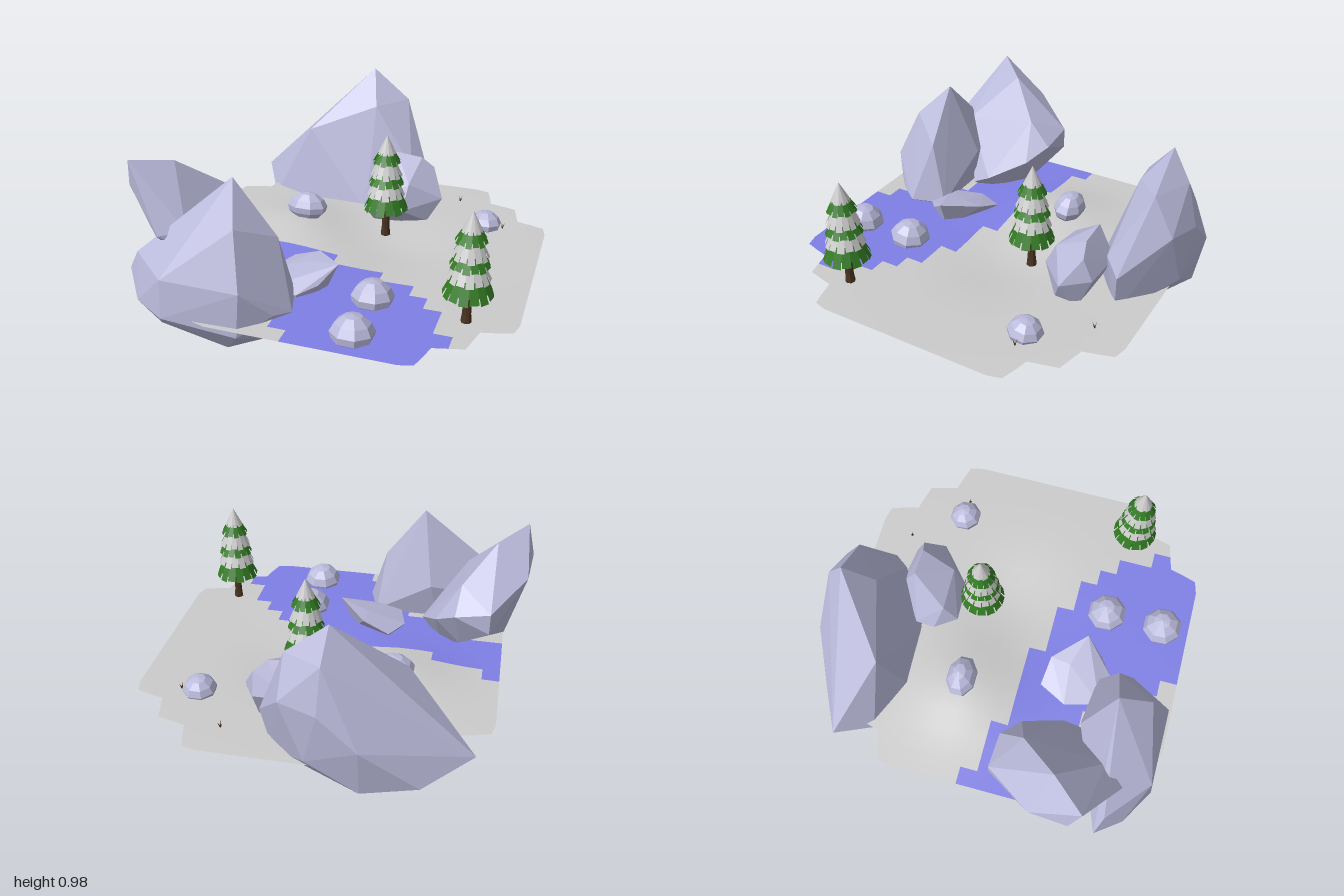
import * as THREE from 'three';
import { mergeVertices } from 'three/addons/utils/BufferGeometryUtils.js';
import { ConvexGeometry } from 'three/addons/geometries/ConvexGeometry.js';

const mat = (color, opts = {}) => new THREE.MeshStandardMaterial({ color, ...opts });
const double = { side: THREE.DoubleSide };
const rockMat = mat(0xb9b9da, { flatShading: true });
const groundMat = mat(0xcccccc, double);
const waterMat = mat(0x7f7fe6, double);
const snowMat = mat(0xcccccc, { flatShading: true, ...double });
const greenMat = mat(0x327a22, { flatShading: true, ...double });
const barkMat = mat(0x4a3420, { flatShading: true });

const BASE = 0.235, CELL = 0.094, CX = 0.06, CZ = 0.04;

function add(parent, name, geometry, material) {
  const mesh = new THREE.Mesh(geometry, material);
  mesh.name = name;
  parent.add(mesh);
  return mesh;
}

// Terrain: square grid with stepped corners, a low mound and a shallow hollow
const softened = { '10,6': [9.8, 5.75], '8,6': [8.2, 6.2], '8,8': [7.8, 7.8], '6,8': [6.2, 8.2], '6,10': [5.75, 9.8] };

function gridPoint(i, j) {
  const [a, b] = softened[`${Math.abs(i)},${Math.abs(j)}`] || [Math.abs(i), Math.abs(j)];
  const x = CX + Math.sign(i) * a * CELL, z = CZ + Math.sign(j) * b * CELL;
  const bump = (px, pz, h, r) => h * Math.exp(-((x - px) ** 2 + (z - pz) ** 2) / (2 * r * r));
  return [x, BASE + bump(-0.36, -0.12, 0.058, 0.18) - bump(0.2, -0.07, 0.038, 0.2), z];
}

// First and last grid row of the river for each column, from column -10
const riverStart = [-1, 0, 0, 0, 1, 1, 1, 1, 1, 2, 2, 2, 3, 3, 4, 5, 7];
const riverEnd = [3, 3, 4, 4, 5, 5, 6, 8, 9, 10, 10, 10, 10, 10, 10, 10, 10];

function terrain(group) {
  const land = [], water = [];
  for (let i = -10; i < 10; i++) {
    for (let j = -10; j < 10; j++) {
      const a = Math.max(Math.abs(i), Math.abs(i + 1)), b = Math.max(Math.abs(j), Math.abs(j + 1));
      if ((a > 8 && b > 6) || (a > 6 && b > 8)) continue;
      const wet = j >= riverStart[i + 10] && j < riverEnd[i + 10];
      const p = [gridPoint(i, j), gridPoint(i, j + 1), gridPoint(i + 1, j + 1), gridPoint(i + 1, j)];
      for (const k of [0, 1, 2, 0, 2, 3]) (wet ? water : land).push(...p[k]);
    }
  }
  for (const [name, data, material] of [['ground', land, groundMat], ['river', water, waterMat]]) {
    const g = new THREE.BufferGeometry();
    g.setAttribute('position', new THREE.Float32BufferAttribute(data, 3));
    const merged = mergeVertices(g);
    merged.computeVertexNormals();
    add(group, name, merged, material);
  }
}

// Boulders: convex hulls of a few corners
const boulders = {
  backCrag: [
    [-0.12, 0.98, -0.82], [0.09, 0.81, -0.82], [-0.1, 0.82, -0.92], [-0.07, 0.79, -0.68],
    [0.1, 0.61, -0.93], [-0.09, 0.59, -0.98], [-0.28, 0.42, -0.99], [-0.28, 0.14, -0.94],
    [-0.56, 0.18, -0.9], [-0.8, 0.3, -0.76], [-0.69, 0.18, -0.58], [-0.45, 0.64, -0.58],
    [-0.41, 0.2, -0.46], [-0.07, 0.2, -0.48], [0.25, 0.39, -0.72], [0.17, 0.45, -0.63],
    [0.2, 0.13, -0.7], [0.09, 0.05, -0.62], [-0.11, 0, -0.6], [-0.02, 0.3, -0.95]],
  backBoulder: [
    [0.1, 0.575, -0.55], [0.25, 0.56, -0.55], [0.32, 0.5, -0.57], [0.395, 0.35, -0.475],
    [0.315, 0.38, -0.62], [0.1, 0.4, -0.64], [-0.08, 0.32, -0.51], [-0.08, 0.3, -0.41],
    [0, 0.42, -0.37], [0.22, 0.46, -0.37], [0, 0.3, -0.295], [0.2, 0.32, -0.3],
    [0.16, 0.12, -0.44], [0.3, 0.17, -0.53], [0.04, 0.15, -0.52], [0.32, 0.22, -0.42], [0.03, 0.2, -0.36]],
  frontCrag: [
    [-0.375, 0.87, 0.65], [-0.16, 0.58, 0.64], [-0.3, 0.69, 0.83],
    [-0.06, 0.24, 0.74], [-0.12, 0.24, 0.55],
    [-0.44, 0.45, 0.51], [-0.95, 0.31, 0.71], [-0.88, 0.43, 0.74], [-0.65, 0.42, 0.94],
    [-0.24, 0.42, 0.945], [-0.65, 0.22, 0.965], [-0.26, 0.18, 0.95], [-0.71, 0.12, 0.86],
    [-0.36, 0.04, 0.85], [-0.18, 0.09, 0.78], [-0.84, 0.22, 0.85], [-0.5, 0.13, 0.58], [-0.12, 0.26, 0.83]],
  sideCrag: [
    [-0.96, 0.86, 0.61], [-0.8, 0.81, 0.44], [-0.63, 0.63, 0.25], [-0.8, 0.54, 0.11],
    [-0.61, 0.5, 0.12], [-0.98, 0.65, 0.36], [-1, 0.7, 0.56], [-0.91, 0.36, 0.5],
    [-0.73, 0.56, 0.785], [-0.63, 0.55, 0.68], [-0.5, 0.42, 0.21], [-0.41, 0.3, 0.42],
    [-0.41, 0.25, 0.52], [-0.8, 0.42, 0.11], [-0.64, 0.27, 0.23], [-0.52, 0.15, 0.42],
    [-0.72, 0.18, 0.44], [-0.88, 0.33, 0.3]],
  riverSlab: [
    [-0.235, 0.26, 0.25], [-0.085, 0.32, 0.27], [0.075, 0.36, 0.44], [0, 0.28, 0.54],
    [-0.09, 0.25, 0.615], [-0.26, 0.25, 0.59], [-0.31, 0.25, 0.4], [-0.17, 0.13, 0.42],
    [-0.01, 0.16, 0.46], [-0.24, 0.17, 0.36], [-0.1, 0.14, 0.57], [-0.23, 0.15, 0.54], [-0.1, 0.32, 0.38]],
};

// Small stones: squat eight-sided lathes, tipped slightly
const stoneProfile = [[0, -1], [0.52, -0.88], [0.92, -0.35], [1, 0.05], [0.8, 0.5], [0.42, 0.88], [0, 0.98]]
  .map(([x, y]) => new THREE.Vector2(x, y));
const stones = [
  { at: [0.275, 0.257, 0.51], size: [0.11, 0.092, 0.11] },
  { at: [0.275, 0.257, 0.83], size: [0.11, 0.092, 0.11] },
  { at: [0.66, 0.253, -0.44], size: [0.092, 0.074, 0.092] },
  { at: [-0.325, 0.335, -0.175], size: [0.118, 0.085, 0.085] },
];

// One ring of hanging boughs with a cone core behind it
function tier(tree, name, top, bottom, r0, r1, material, turn) {
  const n = 14, data = [];
  for (let i = 0; i < n; i++) {
    const mid = ((i + turn) / n) * Math.PI * 2, half = Math.PI / n;
    const y1 = bottom + (i % 2) * 0.008;
    const pt = (a, r, y) => [Math.sin(a) * r, y, Math.cos(a) * r];
    const p = [pt(mid - half, r0, top), pt(mid - half * 0.85, r1, y1), pt(mid + half * 0.85, r1, y1), pt(mid + half, r0, top)];
    for (const k of [0, 1, 2, 0, 2, 3]) data.push(...p[k]);
  }
  const g = new THREE.BufferGeometry();
  g.setAttribute('position', new THREE.Float32BufferAttribute(data, 3));
  g.computeVertexNormals();
  add(tree, name, g, material);
  const h = (top - bottom) * 0.75;
  add(tree, name + 'Core', new THREE.CylinderGeometry(r0 * 0.95, r0 + (r1 - r0) * 0.65, h, n), material)
    .position.y = top - h / 2;
}

function makeTree(x, z) {
  const tree = new THREE.Group();
  tree.name = 'pineTree';
  const trunk = [[0, 0.225], [0.028, 0.225], [0.022, 0.28], [0.018, 0.46], [0, 0.46]].map(([r, y]) => new THREE.Vector2(r, y));
  add(tree, 'trunk', new THREE.LatheGeometry(trunk, 8), barkMat);
  tier(tree, 'lowBoughs', 0.51, 0.387, 0.07, 0.122, greenMat, 0);
  tier(tree, 'lowSnow', 0.575, 0.472, 0.055, 0.104, snowMat, 0.5);
  tier(tree, 'middleBoughs', 0.62, 0.54, 0.053, 0.096, greenMat, 0);
  tier(tree, 'middleSnow', 0.69, 0.588, 0.042, 0.087, snowMat, 0.5);
  tier(tree, 'topBoughs', 0.745, 0.665, 0.036, 0.076, greenMat, 0);
  add(tree, 'snowCap', new THREE.ConeGeometry(0.05, 0.105, 12), snowMat).position.y = 0.7725;
  tree.position.set(x, 0, z);
  return tree;
}

// Tiny dry sprout of three leaning twigs
function makeSprout(x, z) {
  const sprout = new THREE.Group();
  sprout.name = 'sprout';
  for (let i = 0; i < 3; i++) {
    const pivot = new THREE.Group();
    add(pivot, 'twig', new THREE.ConeGeometry(0.004, 0.035, 4), barkMat).position.y = 0.016;
    pivot.rotation.set(0.4, (i * Math.PI * 2) / 3, 0, 'YXZ');
    sprout.add(pivot);
  }
  sprout.position.set(x, BASE, z);
  return sprout;
}

export function createModel() {
  const model = new THREE.Group();
  model.name = 'rockyRiverside';
  terrain(model);
  for (const [name, corners] of Object.entries(boulders)) {
    add(model, name, new ConvexGeometry(corners.map((c) => new THREE.Vector3(...c))), rockMat);
  }
  const stoneGeometry = new THREE.LatheGeometry(stoneProfile, 8, Math.PI / 8);
  for (const { at, size } of stones) {
    const stone = add(model, 'smallStone', stoneGeometry, rockMat);
    stone.position.set(...at);
    stone.scale.set(...size);
    stone.rotation.x = -0.15;
  }
  model.add(makeTree(0.14, -0.185), makeTree(0.75, 0.55));
  model.add(makeSprout(0.46, -0.71), makeSprout(0.76, -0.44));
  return model;
}
